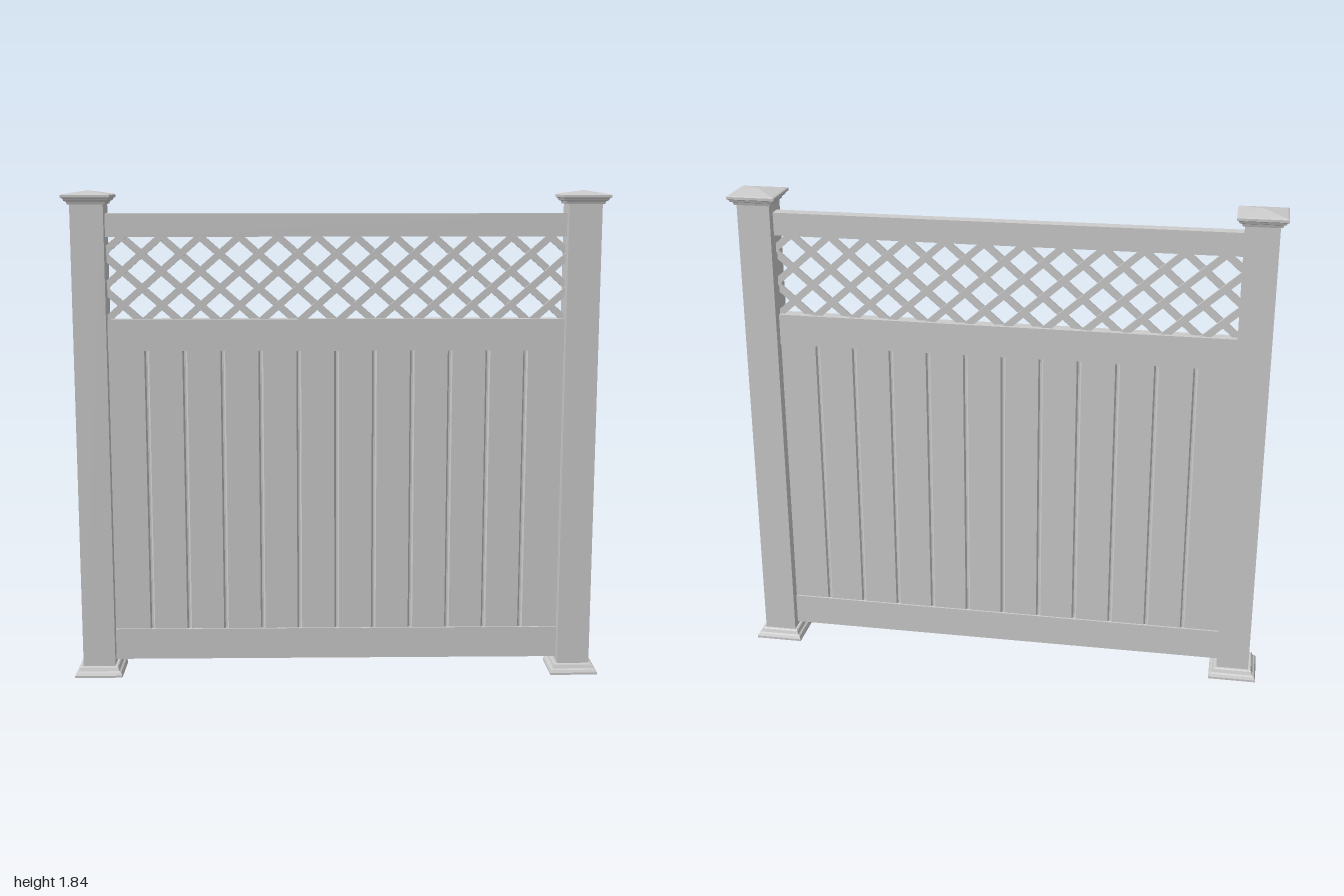
import * as THREE from 'three';

const material = new THREE.MeshStandardMaterial({ color: 0xcccccc, flatShading: true });
const POST_X = 0.911;
const POST_W = 0.122;
const INNER = 0.85;

function add(parent, name, geometry, x = 0, y = 0, z = 0) {
  const mesh = new THREE.Mesh(geometry, material);
  mesh.name = name;
  mesh.position.set(x, y, z);
  parent.add(mesh);
  return mesh;
}

// Square moulding: a half-width / height profile swept round four sides
function squareLathe(profile) {
  const points = profile.map(([r, y]) => new THREE.Vector2(r * Math.SQRT2, y));
  return new THREE.LatheGeometry(points, 4).rotateY(Math.PI / 4);
}

function createPost(name, x) {
  const post = new THREE.Group();
  post.name = name;
  post.position.x = x;
  add(post, 'postShaft', new THREE.BoxGeometry(POST_W, 1.79, POST_W), 0, 0.9);
  // Stepped skirt at the foot
  add(post, 'postBase', squareLathe([
    [0.058, 0.006], [0.062, 0], [0.09, 0], [0.09, 0.008], [0.085, 0.018],
    [0.078, 0.022], [0.073, 0.035], [0.069, 0.038], [0.06, 0.038],
  ]));
  // Stepped cap with a low pyramid
  add(post, 'postCap', squareLathe([
    [0, 1.789], [0.068, 1.789], [0.071, 1.799], [0.079, 1.802], [0.082, 1.81],
    [0.089, 1.813], [0.089, 1.822], [0.083, 1.825], [0, 1.839],
  ]));
  return post;
}

// Tongue-and-groove boards: grooved section extruded upward
function boardPanel(bottom, top) {
  const boards = 12, half = 0.017, deep = 0.011, groove = 0.009;
  const pitch = (2 * INNER) / boards;
  const edge = [[-INNER - 0.01, half]];
  for (let i = 1; i < boards; i++) {
    const x = -INNER + i * pitch;
    edge.push([x - groove, half], [x - 0.003, deep], [x + 0.003, deep], [x + groove, half]);
  }
  edge.push([INNER + 0.01, half]);
  const back = edge.map(([x, z]) => [x, -z]).reverse();
  const shape = new THREE.Shape([...edge, ...back].map(([x, z]) => new THREE.Vector2(x, z)));
  return new THREE.ExtrudeGeometry(shape, { depth: top - bottom, bevelEnabled: false })
    .rotateX(-Math.PI / 2).translate(0, bottom, 0);
}

// Two layers of crossing diagonal strips, their ends buried in rails and posts
function createLattice(bottom, top) {
  const lattice = new THREE.Group();
  lattice.name = 'lattice';
  const pitch = 0.1443, slope = 0.88, nodeY = 1.606, limit = INNER + 0.015;
  for (const dir of [1, -1]) {
    for (let i = -9; i <= 9; i++) {
      const x0 = i * pitch;
      const xAt = (y) => x0 + (dir * (y - nodeY)) / slope;
      const ends = [xAt(bottom), xAt(top)].sort((a, b) => a - b);
      const xa = Math.max(ends[0], -limit), xb = Math.min(ends[1], limit);
      if (xb - xa < 0.02) continue;
      const xm = (xa + xb) / 2;
      const length = (xb - xa) * Math.hypot(1, slope);
      const strip = add(lattice, 'latticeStrip', new THREE.BoxGeometry(length, 0.026, 0.011),
        xm, nodeY + dir * slope * (xm - x0), dir * 0.005);
      strip.rotation.z = dir * Math.atan(slope);
    }
  }
  return lattice;
}

export function createModel() {
  const fence = new THREE.Group();
  fence.name = 'privacyFencePanel';

  fence.add(createPost('leftPost', POST_X), createPost('rightPost', -POST_X));

  // Horizontal rails: name, bottom, top
  for (const [name, y0, y1] of [
    ['bottomRail', 0.053, 0.172], ['middleRail', 1.248, 1.366], ['topRail', 1.67, 1.755],
  ]) {
    add(fence, name, new THREE.BoxGeometry(2 * INNER + 0.02, y1 - y0, 0.048), 0, (y0 + y1) / 2);
  }

  add(fence, 'boardPanel', boardPanel(0.16, 1.26));
  fence.add(createLattice(1.352, 1.684));
  return fence;
}
